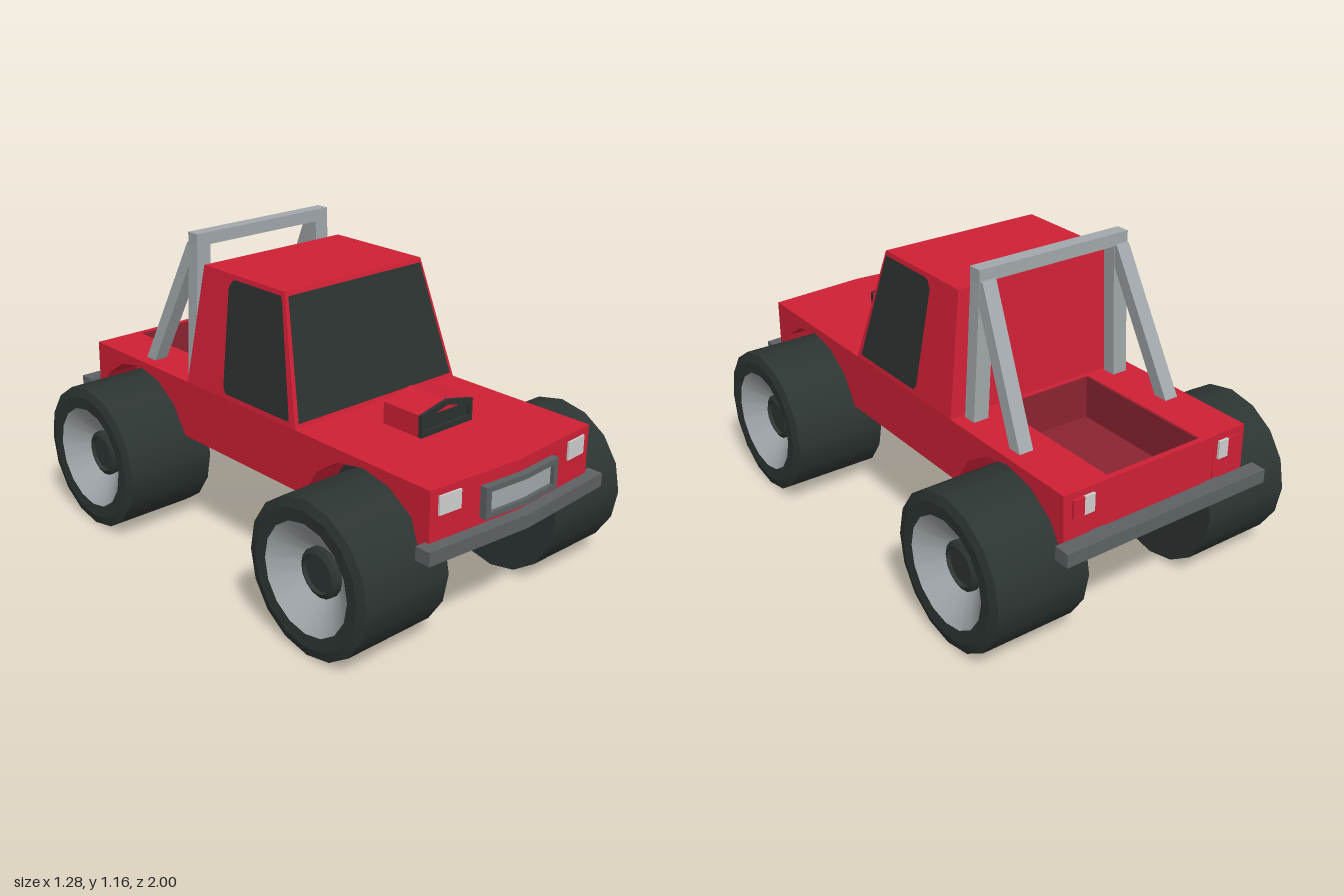
import * as THREE from 'three';

const mat = (name, color, side = THREE.FrontSide) => {
  const m = new THREE.MeshStandardMaterial({ color, side });
  m.name = name;
  return m;
};

export function createModel() {
  const red = mat('body red', 0xd02035);
  const darkRed = mat('bed dark red', 0x8c2431);
  const rubber = mat('tyre black', 0x2d3533);
  const glass = mat('window black', 0x2b3230, THREE.DoubleSide);
  const steel = mat('steel grey', 0xa3a9ad);
  const bumperGrey = mat('bumper grey', 0x5d6264);
  const lamp = mat('lamp white', 0xd0d0d0);

  const truck = new THREE.Group();
  truck.name = 'truck';
  const add = (name, geo, material, parent = truck) => {
    const mesh = new THREE.Mesh(geo, material);
    mesh.name = name;
    parent.add(mesh);
    return mesh;
  };
  // Move every vertex of a geometry by a rule
  const warp = (geo, rule) => {
    const p = geo.attributes.position, v = new THREE.Vector3();
    for (let i = 0; i < p.count; i++) {
      rule(v.fromBufferAttribute(p, i));
      p.setXYZ(i, v.x, v.y, v.z);
    }
    geo.computeVertexNormals();
    return geo;
  };
  // Box between limits, split at the middle of its width
  const block = (x0, x1, y0, y1, z0, z1) =>
    new THREE.BoxGeometry(x1 - x0, y1 - y0, z1 - z0, 2, 1, 1)
      .translate((x0 + x1) / 2, (y0 + y1) / 2, (z0 + z1) / 2);
  // The nose is swept back from the centre line
  const sweep = (geo) => warp(geo, (v) => { if (v.z > 0.88) v.z -= 0.077 * Math.abs(v.x); });
  const shapeOf = (pts) => new THREE.Shape(pts.map(([x, y]) => new THREE.Vector2(x, y)));

  // Body slabs: side profile (z, y) extruded across x
  const FRONT = 0.62, REAR = -0.64, AXLE_Y = 0.285, BOTTOM = 0.4, DECK = 0.625;
  const arch = (zc) => {
    const pts = [];
    for (let i = 1; i <= 7; i++) {
      const a = Math.PI - (i * Math.PI) / 8;
      const y = AXLE_Y + 0.315 * Math.sin(a);
      pts.push([zc + 0.315 * Math.cos(a), i === 1 || i === 7 ? BOTTOM : y]);
    }
    return pts;
  };
  const slab = (pts, x0, x1) => sweep(
    new THREE.ExtrudeGeometry(shapeOf(pts), { depth: x1 - x0, bevelEnabled: false })
      .rotateY(-Math.PI / 2).translate(x1, 0, 0));
  const ends = [[0.95, BOTTOM], [0.95, DECK], [-0.925, DECK], [-0.925, BOTTOM]];
  const fender = [...ends, ...arch(REAR), ...arch(FRONT)];
  const tray = [[0.95, BOTTOM], [0.95, DECK], [-0.335, DECK], [-0.335, 0.455],
    [-0.905, 0.455], [-0.905, DECK], [-0.925, DECK], [-0.925, BOTTOM]];
  for (const [name, profile, a, b] of [['fender', fender, 0.25, 0.39],
    ['bedSide', ends, 0.2, 0.25], ['bodyCentre', tray, 0, 0.2]]) {
    add(name + 'Left', slab(profile, a, b), red);
    add(name + 'Right', slab(profile, -b, -a), red);
  }
  for (const s of [1, -1]) {
    add('frontWheelWell', new THREE.ShapeGeometry(shapeOf(arch(FRONT)))
      .rotateY(-Math.PI / 2).translate(s * 0.254, 0, 0), glass);
  }

  // Bed lining
  add('bedFloor', block(-0.2, 0.2, 0.455, 0.46, -0.905, -0.335), darkRed);
  add('bedFrontWall', block(-0.2, 0.2, 0.455, 0.622, -0.339, -0.334), darkRed);
  add('bedRearWall', block(-0.2, 0.2, 0.455, 0.622, -0.906, -0.901), darkRed);
  for (const s of [1, -1]) {
    add('bedSideWall', new THREE.BoxGeometry(0.005, 0.167, 0.57)
      .translate(s * 0.198, 0.5385, -0.62), darkRed);
  }

  // Cab: a box tapered towards the roof
  const rise = (y) => (y - DECK) / 0.445;
  const cabX = (y) => 0.39 - 0.065 * rise(y);
  const cabFront = (y) => 0.29 - 0.124 * rise(y);
  const cabRear = (y) => -0.32 + 0.04 * rise(y);
  add('cab', warp(new THREE.BoxGeometry(2, 0.445, 2).translate(0, DECK + 0.2225, 0), (v) => {
    v.x *= cabX(v.y);
    v.z = v.z > 0 ? cabFront(v.y) : cabRear(v.y);
  }), red);
  add('windshield', warp(
    new THREE.ShapeGeometry(shapeOf([[-0.373, 0.642], [0.373, 0.642], [0.316, 1.055], [-0.316, 1.055]])),
    (v) => { v.z = cabFront(v.y) + 0.004; }), glass);
  const windowPts = [[0.258, 0.648], [0.245, 0.645], [-0.09, 0.645], [-0.106, 0.665],
    [-0.126, 1.02], [-0.108, 1.05], [-0.09, 1.055], [0.165, 1.055], [0.178, 1.03]];
  windowPts[7][0] = 0.155;
  windowPts[8][0] = 0.164;
  for (const s of [1, -1]) {
    add('sideWindow', warp(new THREE.ShapeGeometry(shapeOf(windowPts.map(([z, y]) => [-s * z, y]))), (v) => {
      v.z = -s * v.x;
      v.x = s * (cabX(v.y) + 0.004);
    }), glass);
  }

  // Hood scoop with a dark framed mouth
  const extrude = (shape, depth, z) =>
    new THREE.ExtrudeGeometry(shape, { depth, bevelEnabled: false }).translate(0, 0, z);
  const scoop = [[-0.125, 0.62], [0.125, 0.62], [0.125, 0.705], [0, 0.732], [-0.125, 0.705]];
  add('hoodScoop', extrude(shapeOf(scoop), 0.165, 0.445), red);
  const mouth = shapeOf(scoop);
  mouth.holes.push(shapeOf([[-0.11, 0.645], [-0.11, 0.682], [0, 0.715], [0.11, 0.682], [0.11, 0.645]]));
  add('scoopMouth', extrude(mouth, 0.014, 0.61), glass);
  add('scoopInside', block(-0.115, 0.115, 0.635, 0.69, 0.608, 0.612), glass);

  // Grille
  add('grille', sweep(block(-0.16, 0.16, 0.485, 0.57, 0.94, 0.962)), steel);
  for (const [y0, y1] of [[0.47, 0.49], [0.563, 0.582]]) {
    add('grilleFrameRail', sweep(block(-0.177, 0.177, y0, y1, 0.94, 0.977)), bumperGrey);
  }
  for (const s of [1, -1]) {
    add('grilleFrameSide', sweep(block(s * 0.166 - 0.011, s * 0.166 + 0.011, 0.47, 0.582, 0.94, 0.977)), bumperGrey);
    // Lamps
    add('headlight', sweep(block(s * 0.31 - 0.046, s * 0.31 + 0.046, 0.533, 0.6, 0.948, 0.957)), lamp);
    add('reverseLamp', block(s * 0.29 - 0.021, s * 0.29 + 0.021, 0.533, 0.6, -0.934, -0.925), lamp);
    add('tailLamp', block(s * 0.333 - 0.022, s * 0.333 + 0.022, 0.533, 0.6, -0.934, -0.925), red);
    add('rearBumperMount', block(s * 0.25 - 0.03, s * 0.25 + 0.03, 0.43, 0.46, -0.95, -0.92), bumperGrey);
  }

  // Bumpers
  add('frontBumper', sweep(block(-0.43, 0.43, 0.395, 0.445, 0.935, 0.995)), bumperGrey);
  add('rearBumper', block(-0.43, 0.43, 0.42, 0.47, -1, -0.94), bumperGrey);

  // Roll bar: leaning posts, top bar and rear braces
  const strut = (name, bottom, top, w, d) => {
    const geo = new THREE.BoxGeometry(1, 1, 1);
    add(name, warp(geo, (v) => {
      const [cx, cy, cz] = v.y > 0 ? top : bottom;
      v.set(cx + v.x * w, cy, cz + v.z * d);
    }), steel);
  };
  add('rollBarTop', block(-0.315, 0.315, 1.124, 1.17, -0.385, -0.333), steel);
  for (const s of [1, -1]) {
    strut('rollBarPost', [s * 0.31, 0.615, -0.359], [s * 0.284, 1.126, -0.359], 0.06, 0.052);
    strut('rollBarBrace', [s * 0.32, 0.6, -0.632], [s * 0.284, 1.13, -0.37], 0.055, 0.055);
  }

  // Wheels: each [radius, offset] pair becomes a crisp ring
  const tyre = [[0.13, 0.34], [0.13, 0.27], [0.28, 0.27], [0.28, 0.63], [0.245, 0.64], [0.198, 0.637]];
  const rim = [[0.198, 0.637], [0.08, 0.55]];
  const hub = [[0.088, 0.545], [0.088, 0.575], [0.07, 0.585], [0.068, 0.57], [0, 0.57]];
  const back = [[0, 0.34], [0.13, 0.34]];
  const innerHub = [[0, 0.31], [0.04, 0.31], [0.04, 0.34]];
  const rings = (name, pts, material, parent) => {
    for (let i = 1; i < pts.length; i++) {
      const pair = [pts[i - 1], pts[i]].map(([r, h]) => new THREE.Vector2(r, h));
      add(name, new THREE.LatheGeometry(pair, 16).rotateZ(-Math.PI / 2), material, parent);
    }
  };
  for (const z of [FRONT, REAR]) {
    for (const s of [1, -1]) {
      const wheel = new THREE.Group();
      wheel.name = (z > 0 ? 'front' : 'rear') + (s > 0 ? 'Left' : 'Right') + 'Wheel';
      rings('tyre', tyre, rubber, wheel);
      rings('rim', rim, steel, wheel);
      rings('hub', hub, rubber, wheel);
      rings('rimBack', back, lamp, wheel);
      rings('innerHub', innerHub, rubber, wheel);
      wheel.position.set(0, AXLE_Y, z);
      if (s < 0) wheel.rotation.y = Math.PI;
      truck.add(wheel);
    }
  }
  truck.position.y = -0.005;
  const model = new THREE.Group();
  model.name = 'pickup';
  model.add(truck);
  return model;
}
